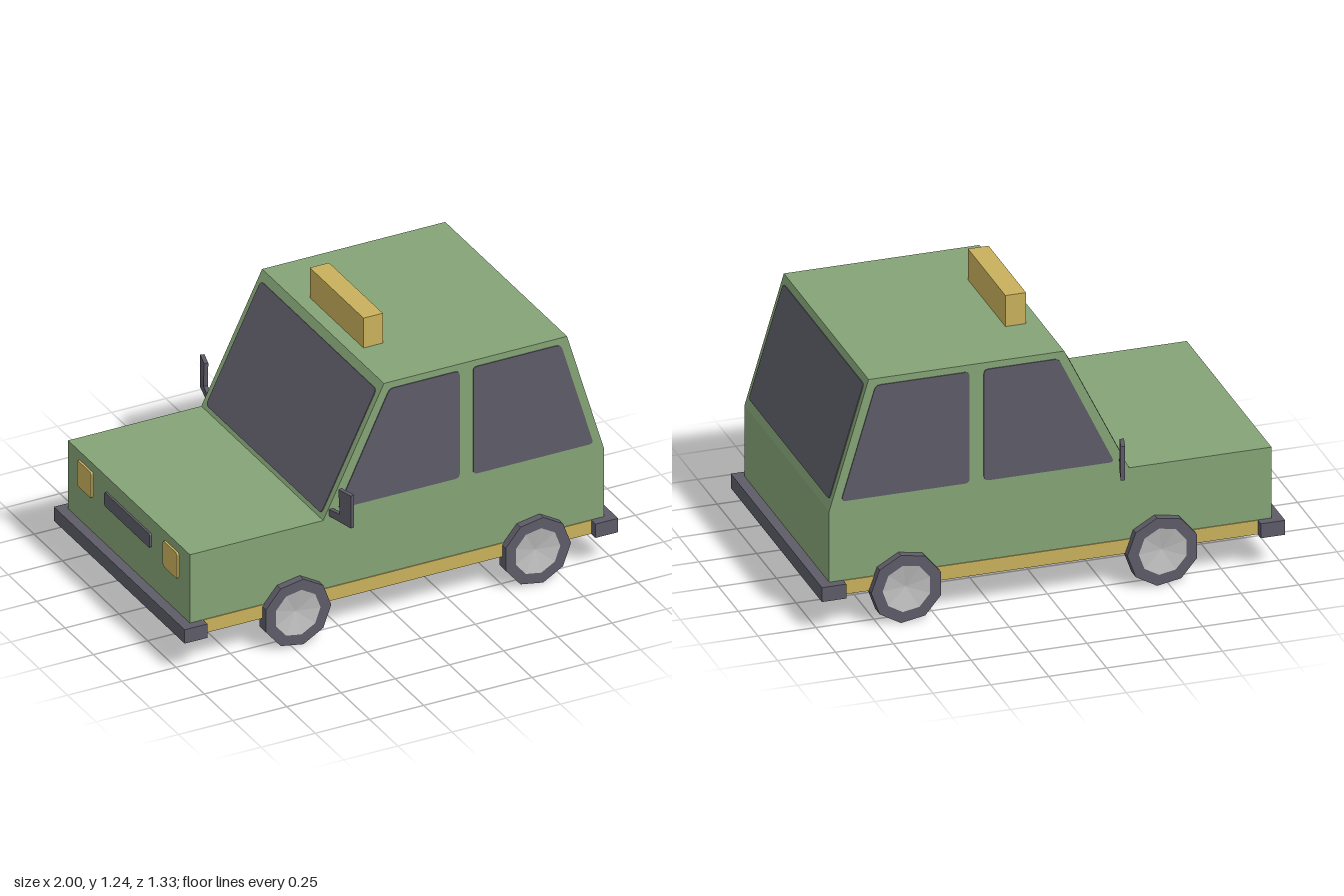
import * as THREE from 'three';

const W = 0.537; // half width of the body
const THIN = 0.004;

function mat(name, color) {
  const m = new THREE.MeshStandardMaterial({ color });
  m.name = name;
  return m;
}

// Polygon with softly rounded corners
function roundedShape(points, r) {
  const pts = points.map(([x, y]) => new THREE.Vector2(x, y));
  const shape = new THREE.Shape();
  pts.forEach((p, i) => {
    const toward = (q) => q.clone().sub(p).setLength(r).add(p);
    const a = toward(pts[(i + pts.length - 1) % pts.length]);
    const b = toward(pts[(i + 1) % pts.length]);
    if (i === 0) shape.moveTo(a.x, a.y);
    else shape.lineTo(a.x, a.y);
    shape.quadraticCurveTo(p.x, p.y, b.x, b.y);
  });
  shape.closePath();
  return shape;
}

const plate = (points, r = 0.02) =>
  new THREE.ExtrudeGeometry(roundedShape(points, r), { depth: THIN, bevelEnabled: false, curveSegments: 3 });

const rect = (w, y0, y1) => [[-w, y0], [w, y0], [w, y1], [-w, y1]];

export function createModel() {
  const car = new THREE.Group();
  car.name = 'car';
  const green = mat('body green', 0x84a376);
  const charcoal = mat('charcoal', 0x5d5c67);
  const amber = mat('amber', 0xc9b05c);
  const silver = mat('rim silver', 0xbcbcbc);

  function add(name, geometry, material, parent = car) {
    const mesh = new THREE.Mesh(geometry, material);
    mesh.name = name;
    parent.add(mesh);
    return mesh;
  }
  function box(name, material, x0, x1, y0, y1, z0, z1) {
    const m = add(name, new THREE.BoxGeometry(x1 - x0, y1 - y0, z1 - z0), material);
    m.position.set((x0 + x1) / 2, (y0 + y1) / 2, (z0 + z1) / 2);
    return m;
  }

  // Body: side profile extruded across the width, bonnet toward -x
  const profile = new THREE.Shape([
    [-0.955, 0.152], [0.955, 0.152], [0.955, 0.535], [0.785, 1.105],
    [-0.06, 1.105], [-0.34, 0.535], [-0.955, 0.535],
  ].map(([x, y]) => new THREE.Vector2(x, y)));
  const bodyGeo = new THREE.ExtrudeGeometry(profile, { depth: 2 * W, bevelEnabled: false });
  bodyGeo.translate(0, 0, -W);
  add('body', bodyGeo, green);

  // Windscreen and rear window lie on the sloping planes
  function slopedWindow(name, x0, x1, from, to) {
    const up = new THREE.Vector3(x1 - x0, 0.57, 0);
    const len = up.length();
    up.normalize();
    const side = new THREE.Vector3(0, 0, x1 > x0 ? 1 : -1);
    const normal = new THREE.Vector3().crossVectors(side, up);
    const m = add(name, plate(rect(0.508, from * len, to * len)), charcoal);
    m.applyMatrix4(new THREE.Matrix4().makeBasis(side, up, normal).setPosition(x0, 0.535, 0));
  }
  slopedWindow('windscreen', -0.34, -0.06, 0.03, 0.935);
  slopedWindow('rearWindow', 0.955, 0.785, 0.07, 0.945);

  // Parts on both flanks
  const frontGlass = [[-0.275, 0.573], [0.288, 0.573], [0.288, 1.075], [-0.035, 1.075]];
  const rearGlass = [[0.35, 0.573], [0.905, 0.573], [0.755, 1.075], [0.35, 1.075]];
  const mirrorOutline = new THREE.Shape([
    [-0.01, 0.55], [0.13, 0.545], [0.13, 0.697], [0.054, 0.697], [0.063, 0.585], [-0.01, 0.58],
  ].map(([x, y]) => new THREE.Vector2(x, y)));

  for (const s of [1, -1]) {
    const side = s > 0 ? 'left' : 'right';
    const z0 = s > 0 ? W : -W - THIN;
    add(side + 'FrontWindow', plate(frontGlass), charcoal).position.z = z0;
    add(side + 'RearWindow', plate(rearGlass), charcoal).position.z = z0;
    box(side + 'Sill', amber, -0.9, 0.9, 0.152, 0.215, z0, z0 + THIN);

    // Wing mirror, an L-shaped blade swept slightly back
    const blade = new THREE.ExtrudeGeometry(mirrorOutline, { depth: 0.018, bevelEnabled: false });
    blade.translate(0, 0, -0.009);
    const mirror = add(side + 'Mirror', blade, charcoal);
    mirror.position.set(-0.305, 0, s * W);
    mirror.rotation.y = -s * (Math.PI / 2 - 0.27);

    // Headlamp on the nose
    const lamp = add(side + 'Headlamp', plate(rect(0.063, 0.375, 0.495), 0.012), amber);
    lamp.scale.z = 2.4;
    lamp.position.set(-0.955, 0, s * 0.378);
    lamp.rotation.y = -Math.PI / 2;
  }
  const grille = add('grille', plate(rect(0.2, 0.4, 0.465), 0.01), charcoal);
  grille.scale.z = 2.4;
  grille.position.x = -0.955;
  grille.rotation.y = -Math.PI / 2;

  // Bumpers with ends that wrap around the corners
  for (const d of [1, -1]) {
    const end = d > 0 ? 'rear' : 'front';
    const span = (a, b) => (d > 0 ? [a, b] : [-b, -a]);
    box(end + 'Bumper', charcoal, ...span(0.955, 1), 0.15, 0.215, -0.577, 0.577);
    for (const s of [1, -1]) {
      const [z0, z1] = s > 0 ? [W, 0.577] : [-0.577, -W];
      box(end + 'BumperEnd', charcoal, ...span(0.895, 0.955), 0.15, 0.215, z0, z1);
    }
  }

  // Roof sign
  box('roofSign', amber, 0.003, 0.092, 1.1, 1.245, -0.237, 0.237);

  // Wheels: nine-sided tyre, dished rim outside, flat disc inside
  const R = 0.155, r = 0.106, h = 0.028;
  const faceted = (pts) => {
    const g = new THREE.LatheGeometry(pts.map(([x, y]) => new THREE.Vector2(x, y)), 9).toNonIndexed();
    g.computeVertexNormals();
    return g.rotateX(Math.PI / 2); // axle along z, outside toward +z
  };
  const tyreGeo = faceted([[R, -h], [R, h], [r, h]]);
  const rimGeo = faceted([[r, h], [0, h - 0.02]]);
  const discGeo = faceted([[0, -h], [R, -h]]);
  for (const x of [-0.476, 0.63]) {
    for (const s of [1, -1]) {
      const wheel = new THREE.Group();
      wheel.name = (x < 0 ? 'front' : 'rear') + (s > 0 ? 'Left' : 'Right') + 'Wheel';
      add('tyre', tyreGeo, charcoal, wheel);
      add('rim', rimGeo, silver, wheel);
      add('innerDisc', discGeo, silver, wheel);
      // turn a corner toward the bonnet on both sides
      const spin = new THREE.Matrix4().makeRotationZ(s > 0 ? Math.PI / 2 : -Math.PI / 2);
      const flip = new THREE.Matrix4().makeRotationY(s > 0 ? 0 : Math.PI);
      wheel.applyMatrix4(flip.multiply(spin).setPosition(x, 0.153, s * 0.543));
      car.add(wheel);
    }
  }
  return car;
}
